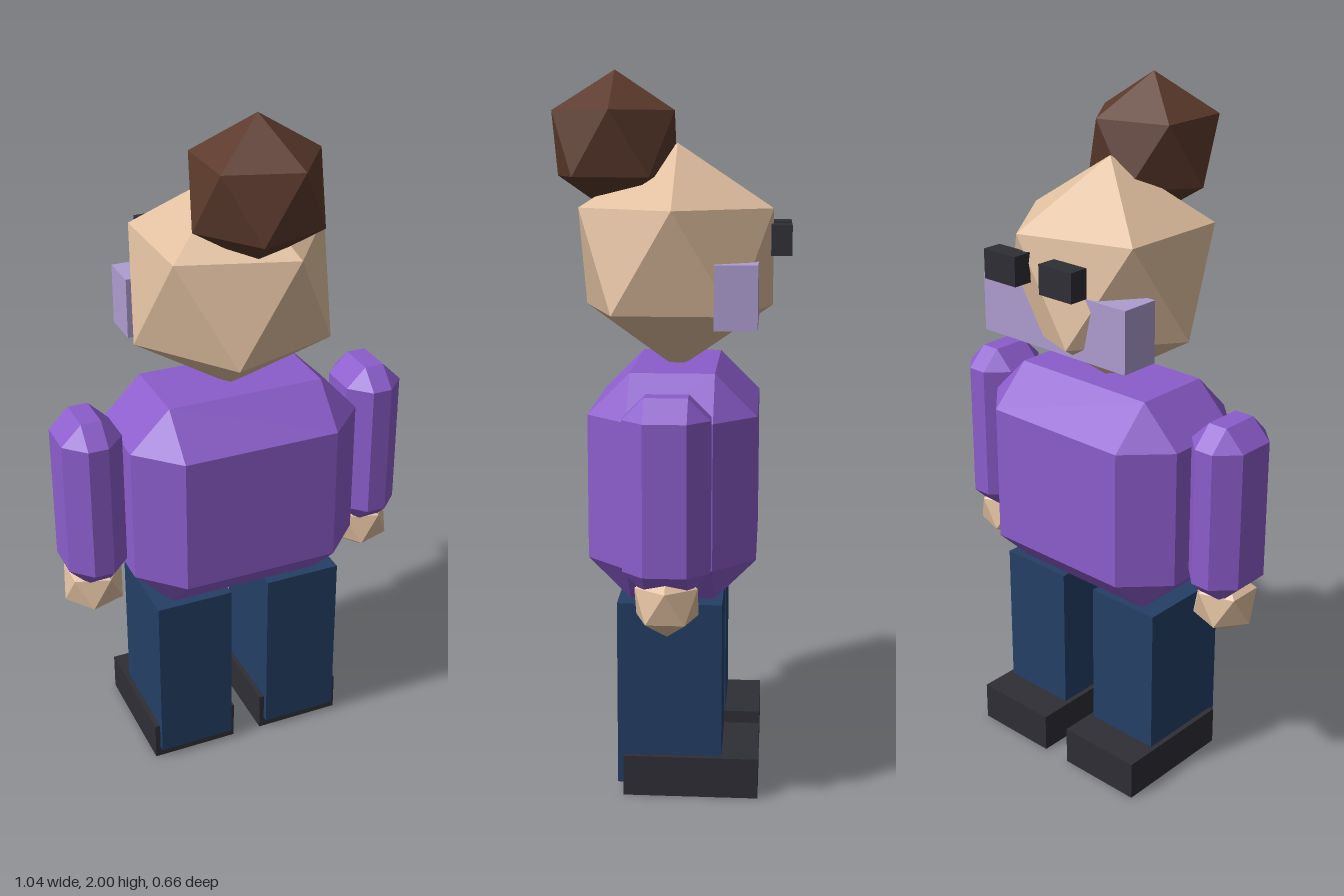
import * as THREE from 'three';
import { ConvexGeometry } from 'three/addons/geometries/ConvexGeometry.js';

const material = (name, color) => {
  const m = new THREE.MeshStandardMaterial({ color, flatShading: true });
  m.name = name;
  return m;
};

// Twenty-sided ball standing on a point, upper ring starting at +x
function icoBall(r) {
  const pts = [new THREE.Vector3(0, r, 0), new THREE.Vector3(0, -r, 0)];
  const h = r / Math.sqrt(5);
  for (let i = 0; i < 5; i++) {
    const a = (i * 2 * Math.PI) / 5;
    const x = 2 * h * Math.cos(a), z = 2 * h * Math.sin(a);
    pts.push(new THREE.Vector3(x, h, z), new THREE.Vector3(-x, -h, z));
  }
  return new ConvexGeometry(pts);
}

// Box with every edge and corner cut by a single bevel
function bevelBox(w, h, d, c) {
  const pts = [];
  for (const sx of [-1, 1]) for (const sy of [-1, 1]) for (const sz of [-1, 1]) {
    const x = w / 2, y = h / 2, z = d / 2;
    pts.push(
      new THREE.Vector3(sx * x, sy * (y - c), sz * (z - c)),
      new THREE.Vector3(sx * (x - c), sy * y, sz * (z - c)),
      new THREE.Vector3(sx * (x - c), sy * (y - c), sz * z));
  }
  return new ConvexGeometry(pts);
}

export function createModel() {
  const group = new THREE.Group();
  group.name = 'figure';
  const purple = material('purple sweater', 0x8c5dcc);
  const skin = material('skin', 0xe0bf9f);
  const brown = material('brown hair', 0x5c3a2c);
  const denim = material('blue denim', 0x243f66);
  const dark = material('dark rubber', 0x2f2e36);
  const lavender = material('lavender', 0xad9dd0);

  const add = (name, geometry, mat, x, y, z) => {
    const mesh = new THREE.Mesh(geometry, mat);
    mesh.name = name;
    mesh.position.set(x, y, z);
    group.add(mesh);
  };
  const zc = -0.0145;

  // Body, head and hair bun
  add('torso', bevelBox(0.69, 0.635, 0.464, 0.116), purple, 0, 0.8725, zc);
  add('head', icoBall(0.3165), skin, 0, 1.485, zc);
  add('hairBun', icoBall(0.2), brown, 0, 1.8, 0.16);

  // Band across the lower face
  add('faceBand', new THREE.BoxGeometry(0.52, 0.175, 0.117), lavender, 0, 1.397, -0.186);

  // Paired parts
  for (const [side, s] of [['left', 1], ['right', -1]]) {
    add(side + 'Arm', bevelBox(0.174, 0.52, 0.23, 0.058), purple, s * 0.4335, 0.903, zc);
    add(side + 'Hand', icoBall(0.098), skin, s * 0.4335, 0.613, zc);
    add(side + 'Leg', new THREE.BoxGeometry(0.23, 0.525, 0.29), denim, s * 0.174, 0.295, -0.011);
    add(side + 'Shoe', new THREE.BoxGeometry(0.26, 0.116, 0.376), dark, s * 0.174, 0.058, -0.071);
    add(side + 'Eye', new THREE.BoxGeometry(0.115, 0.082, 0.057), dark, s * 0.101, 1.543, -0.306);
  }
  return group;
}
